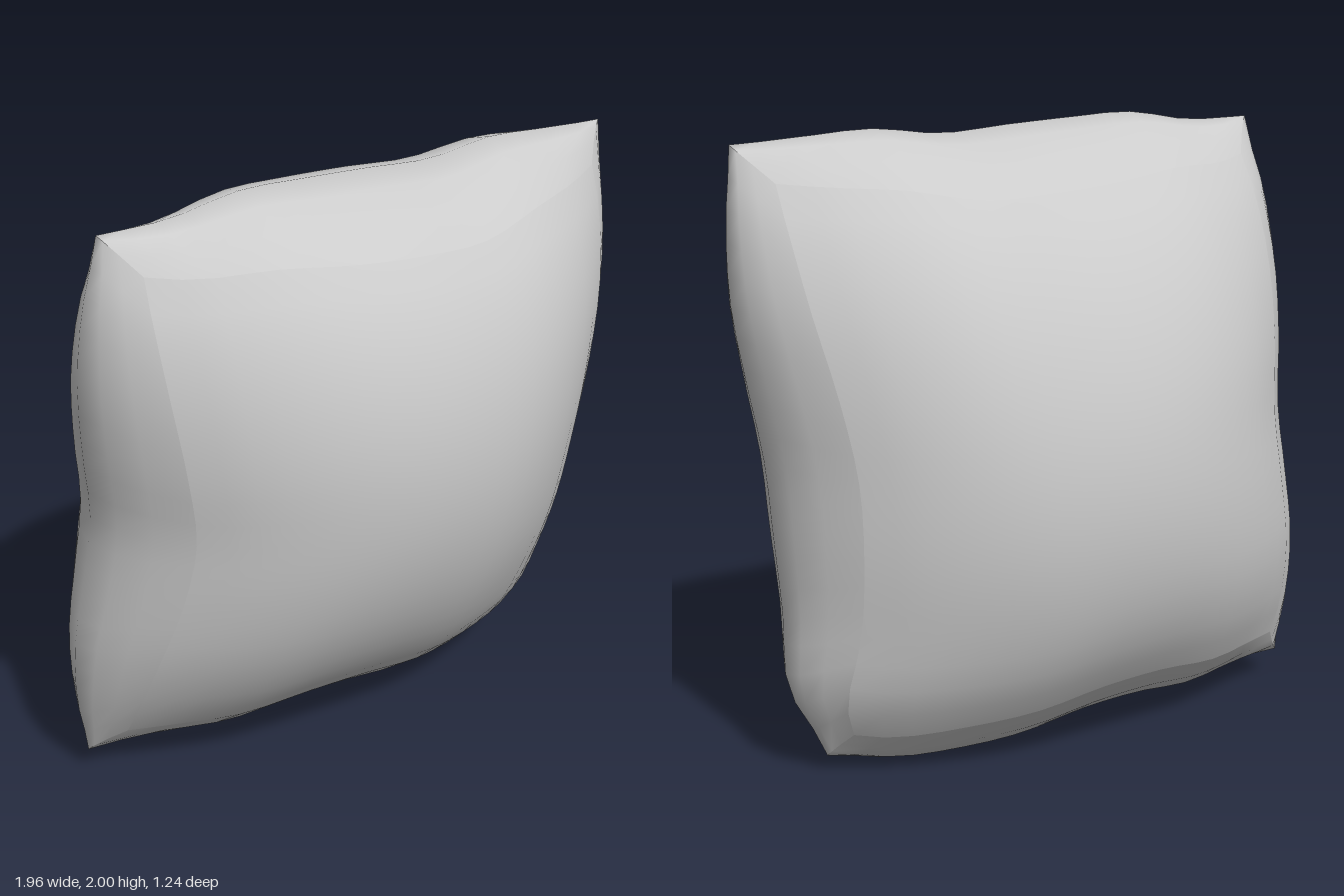
import * as THREE from 'three';

// Smooth 1D profile through evenly spaced samples, parameter -1..1
function profile(values) {
  const curve = new THREE.SplineCurve(values.map((v, i) => new THREE.Vector2(i, v)));
  return (t) => curve.getPoint(THREE.MathUtils.clamp((t + 1) / 2, 0, 1)).y;
}

// Wavy seam outline: x of the two sides (bottom to top), y of bottom and top (right to left side)
const sideA = profile([-0.94, -0.98, -0.985, -0.955, -0.93, -0.955, -0.97, -0.955, -0.91]);
const sideB = profile([0.78, 0.89, 0.89, 0.9, 0.91, 0.945, 0.975, 0.97, 0.94]);
const bottom = profile([0.1, 0.09, 0.06, 0.07, 0.055, 0.015, 0.003, 0.01, 0.06]);
const top = profile([1.97, 1.967, 2.0, 1.99, 1.975, 1.957, 1.98, 1.965, 1.95]);

const HALF_THICKNESS = 0.61;
const LEAN = 0.12;

// Puffed height of the cushion over its middle plane
function puff(u, v) {
  return HALF_THICKNESS * Math.pow(Math.max(0, (1 - u * u) * (1 - v * v)), 0.6);
}

export function createModel() {
  const group = new THREE.Group();
  group.name = 'pillow';

  // A box gives two panels and four edge strips with creases between them
  const geometry = new THREE.BoxGeometry(2, 2, 2, 20, 20, 6);
  const pos = geometry.attributes.position;
  for (let i = 0; i < pos.count; i++) {
    const a = pos.getX(i), b = pos.getY(i), c = pos.getZ(i);
    // Panels stop short of the seam, less so at the corners
    const inset = 0.19 - 0.07 * a * a * b * b;
    const s = 1 - inset * Math.pow(Math.abs(c), 1.67);
    const u = a * s, v = b * s;
    pos.setXYZ(
      i,
      THREE.MathUtils.lerp(sideA(v), sideB(v), (u + 1) / 2),
      THREE.MathUtils.lerp(bottom(u), top(u), (v + 1) / 2),
      Math.sign(c) * puff(u, v) + LEAN * v
    );
  }
  geometry.computeVertexNormals();

  const cushion = new THREE.Mesh(
    geometry,
    new THREE.MeshStandardMaterial({ color: 0xcccccc, side: THREE.DoubleSide })
  );
  cushion.name = 'cushion';
  group.add(cushion);
  return group;
}
